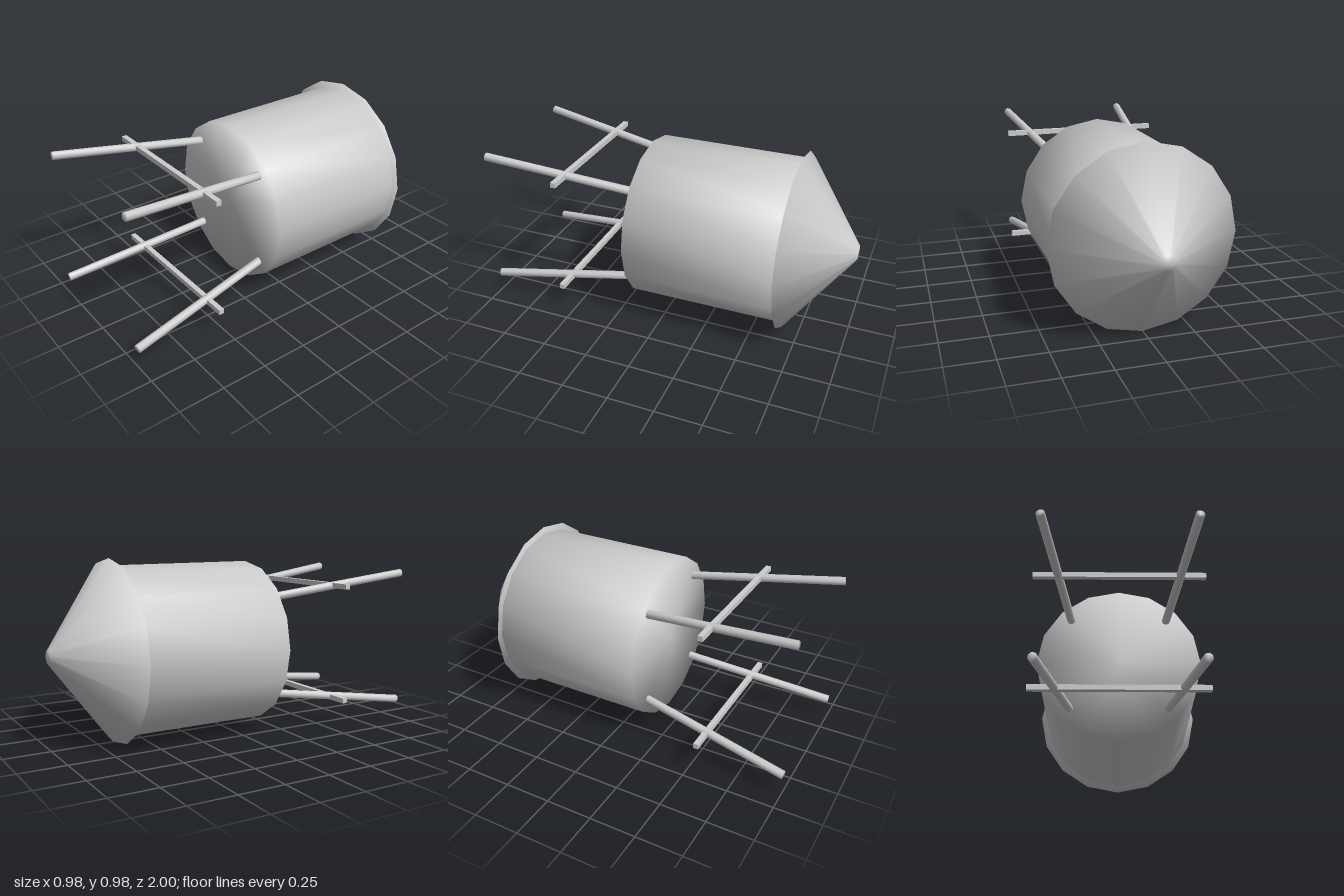
import * as THREE from 'three';
import { mergeVertices } from 'three/addons/utils/BufferGeometryUtils.js';

const CENTRE_Y = 0.49;

// Weld a geometry so shading runs smoothly over its rims
function welded(geometry) {
  geometry.deleteAttribute('uv');
  geometry.deleteAttribute('normal');
  const result = mergeVertices(geometry, 1e-4);
  result.computeVertexNormals();
  return result;
}

// Round section along z; the back end has radius rBack
function drum(rBack, rFront, zBack, zFront) {
  const g = new THREE.CylinderGeometry(rBack, rFront, zFront - zBack, 16);
  g.rotateX(-Math.PI / 2);
  g.translate(0, CENTRE_Y, (zBack + zFront) / 2);
  return welded(g);
}

// Round bar between two points
function rod(a, b, radius) {
  const dir = b.clone().sub(a);
  const g = new THREE.CylinderGeometry(radius, radius, dir.length(), 8);
  g.applyQuaternion(new THREE.Quaternion().setFromUnitVectors(
    new THREE.Vector3(0, 1, 0), dir.normalize()));
  g.translate((a.x + b.x) / 2, (a.y + b.y) / 2, (a.z + b.z) / 2);
  return welded(g);
}

export function createModel() {
  const group = new THREE.Group();
  const grey = new THREE.MeshStandardMaterial({ name: 'light grey', color: 0xcccccc });
  const add = (name, geometry) => {
    const mesh = new THREE.Mesh(geometry, grey);
    mesh.name = name;
    group.add(mesh);
  };

  // Tank lying on its side, with a conical roof at the back
  add('tank', drum(0.45, 0.45, -0.665, 0.165));
  add('roof', drum(0.038, 0.488, -1, -0.663));

  for (const sy of [1, -1]) {
    // Splayed legs
    for (const sx of [1, -1]) {
      add('leg', rod(
        new THREE.Vector3(sx * 0.265, CENTRE_Y + sy * 0.265, 0.16),
        new THREE.Vector3(sx * 0.376, CENTRE_Y + sy * 0.376, 0.996), 0.023));
    }
    // Cross bar joining each pair of legs
    const bar = new THREE.BoxGeometry(0.9, 0.028, 0.028);
    bar.translate(0, CENTRE_Y + sy * 0.319, 0.545);
    add('crossBar', bar);
  }
  return group;
}
